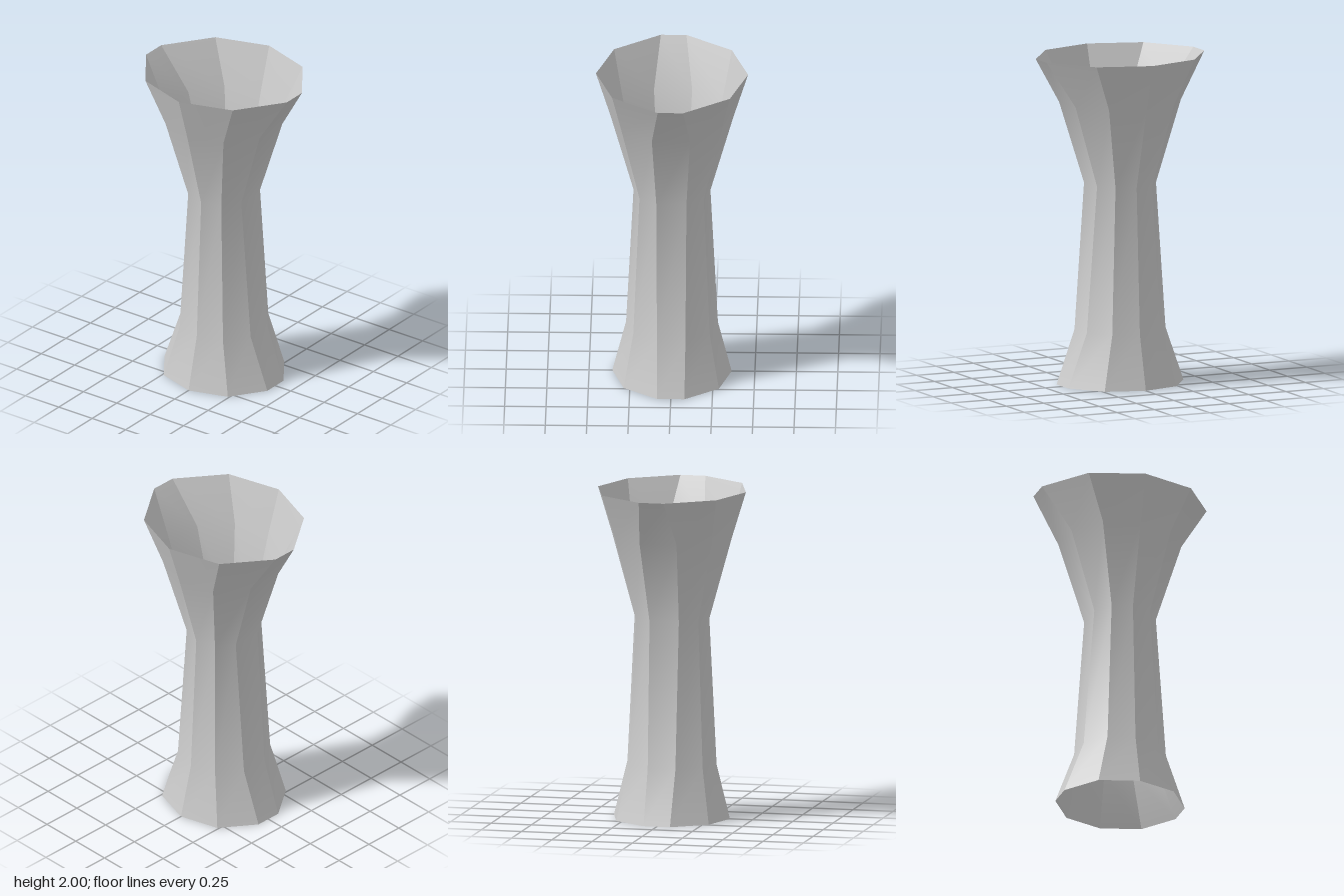
import * as THREE from 'three';
import { toCreasedNormals } from 'three/addons/utils/BufferGeometryUtils.js';

// Each level: height, side corner x, diagonal corner x/z, front corner x/z
const LEVELS = [
  [0.00, 0.36, 0.287, 0.240, 0.082, 0.385],
  [0.33, 0.277, 0.230, 0.162, 0.086, 0.263],
  [1.22, 0.232, 0.194, 0.123, 0.091, 0.197],
  [1.72, 0.372, 0.300, 0.217, 0.115, 0.352],
  [2.00, 0.459, 0.355, 0.327, 0.077, 0.527],
];

// Ten-cornered ring, mirrored left/right and front/back
function ring([y, sx, dx, dz, fx, fz]) {
  const half = [[sx, 0], [dx, dz], [fx, fz], [-fx, fz], [-dx, dz]];
  return [...half, ...half.map(([x, z]) => [-x, -z])].map(([x, z]) => [x, y, z]);
}

// Open tube skinned through the rings
function skin(rings) {
  const n = rings[0].length;
  const index = [];
  for (let j = 0; j < rings.length - 1; j++) {
    for (let i = 0; i < n; i++) {
      const k = (i + 1) % n;
      const a = j * n + i, b = j * n + k, c = a + n, d = b + n;
      index.push(a, c, b, b, c, d);
    }
  }
  const geometry = new THREE.BufferGeometry();
  geometry.setAttribute('position', new THREE.Float32BufferAttribute(rings.flat(2), 3));
  geometry.setIndex(index);
  return toCreasedNormals(geometry, Math.PI / 6);
}

export function createModel() {
  const group = new THREE.Group();
  group.name = 'flaredColumn';
  // Thin shell, open at both ends
  const material = new THREE.MeshStandardMaterial({ color: 0xcccccc, side: THREE.DoubleSide });
  const shell = new THREE.Mesh(skin(LEVELS.map(ring)), material);
  shell.name = 'shell';
  group.add(shell);
  return group;
}
